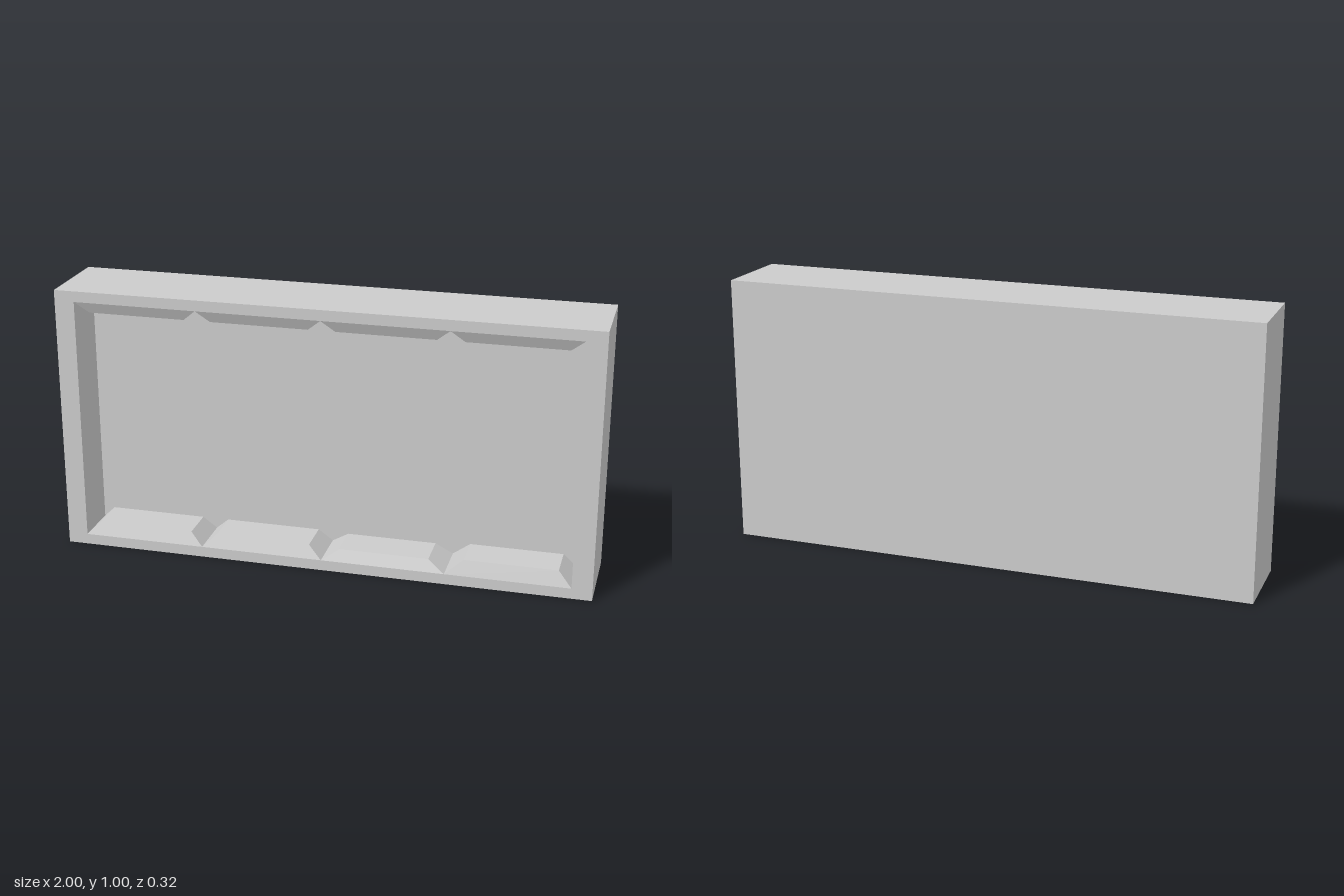
import * as THREE from 'three';

const W = 2, H = 1.005, D = 0.325;           // outer size
const RECESS = 0.18;                         // depth of the front opening
const X = 0.925, Y0 = 0.04, Y1 = 0.965;      // opening limits
const FRONT = D / 2, FLOOR = FRONT - RECESS;

const material = new THREE.MeshStandardMaterial({ color: 0xcccccc, flatShading: true });

function rectangle(target, x, y0, y1) {
  target.moveTo(-x, y0);
  target.lineTo(x, y0);
  target.lineTo(x, y1);
  target.lineTo(-x, y1);
  target.closePath();
  return target;
}

// Bevelled block: its base fills one bay, its crown is inset on all four sides.
function toothGeometry(x0, x1, crown0, crown1, baseY, crownY) {
  const bevel = 0.02;
  const geometry = new THREE.BoxGeometry(1, 1, 1);
  const p = geometry.attributes.position;
  const up = crownY > baseY;
  for (let i = 0; i < p.count; i++) {
    const right = p.getX(i) > 0, front = p.getZ(i) > 0;
    const crown = (p.getY(i) > 0) === up;
    const inset = crown ? bevel : 0;
    p.setXYZ(i,
      crown ? (right ? crown1 : crown0) : (right ? x1 : x0),
      crown ? crownY : baseY,
      front ? FRONT - inset : FLOOR + inset);
  }
  geometry.computeVertexNormals();
  return geometry;
}

export function createModel() {
  const group = new THREE.Group();
  const add = (name, geometry, parent = group) => {
    const mesh = new THREE.Mesh(geometry, material);
    mesh.name = name;
    parent.add(mesh);
    return mesh;
  };

  // Rim around the recess
  const rim = rectangle(new THREE.Shape(), W / 2, 0, H);
  rim.holes.push(rectangle(new THREE.Path(), X, Y0, Y1));
  add('frame', new THREE.ExtrudeGeometry(rim, { depth: RECESS, bevelEnabled: false }))
    .position.z = FLOOR;

  // Solid back
  add('backPanel', new THREE.BoxGeometry(W, H, D - RECESS))
    .position.set(0, H / 2, (FLOOR - D / 2) / 2);

  // Lower teeth, slightly uneven: crown start, crown end, crown height
  const lower = [
    [-0.875, -0.51, 0.089],
    [-0.41, -0.05, 0.089],
    [0.065, 0.4, 0.084],
    [0.53, 0.875, 0.096],
  ];
  const bay = (2 * X) / lower.length;
  const bottomRow = new THREE.Group(), topRow = new THREE.Group();
  bottomRow.name = 'bottomTeeth';
  topRow.name = 'topTeeth';
  group.add(bottomRow, topRow);
  lower.forEach(([c0, c1, y], i) => {
    const x0 = -X + i * bay, x1 = x0 + bay;
    add('bottomTooth' + (i + 1), toothGeometry(x0, x1, c0, c1, Y0, y), bottomRow);
    add('topTooth' + (i + 1), toothGeometry(x0, x1, x0 + 0.05, x1 - 0.05, Y1, 0.923), topRow);
  });
  return group;
}
